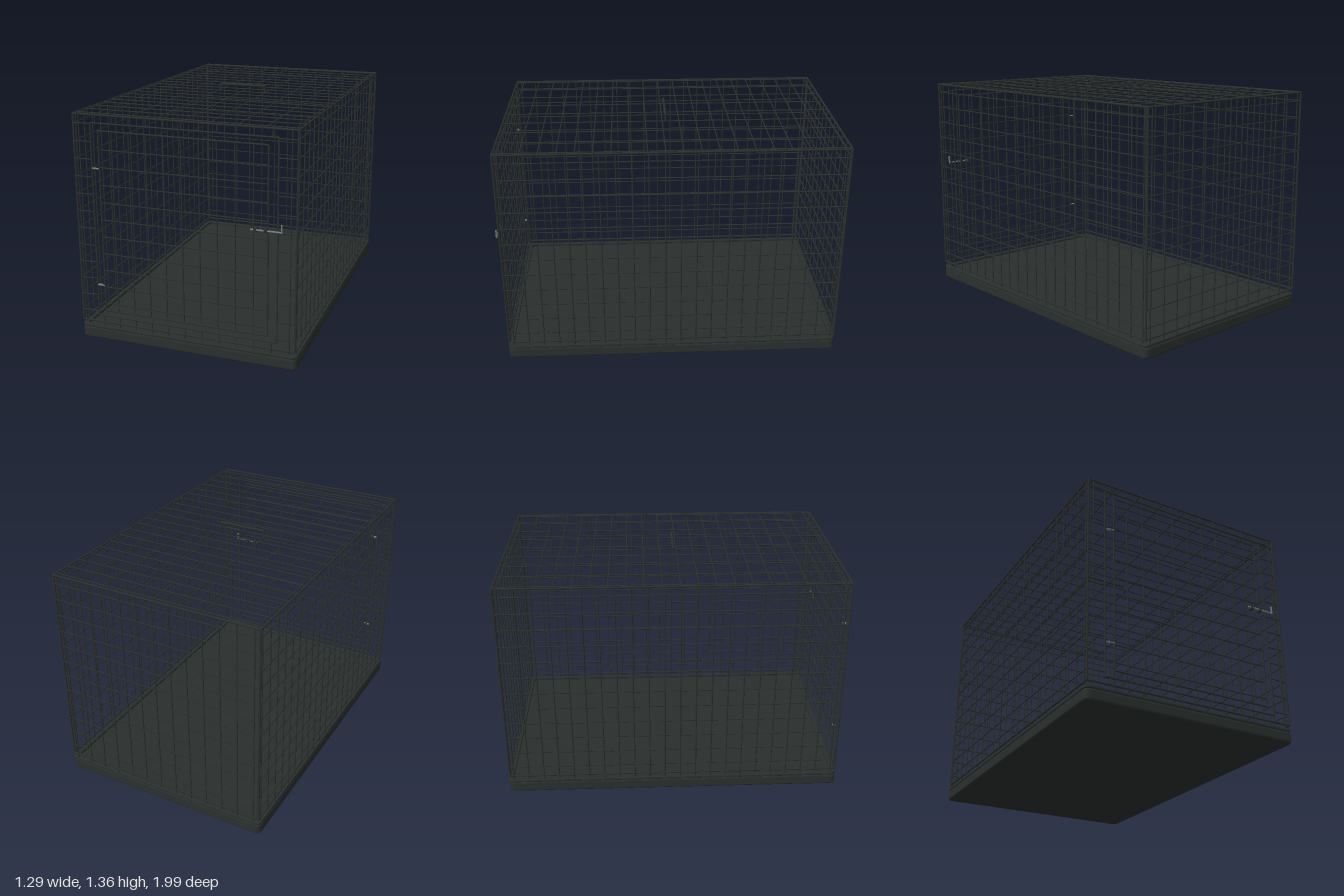
import * as THREE from 'three';
import { mergeGeometries } from 'three/addons/utils/BufferGeometryUtils.js';

const dark = new THREE.MeshStandardMaterial({ color: 0x2a2f2e });
const steel = new THREE.MeshStandardMaterial({ color: 0x777b7b });

const X = 0.632, ZF = 0.963, ZB = -0.986, Y0 = 0.107, Y1 = 1.312;
const THIN = 0.0038, THICK = 0.006;

const steps = (first, last, n) => Array.from({ length: n }, (_, i) => first + (last - first) * i / (n - 1));
const rowsY = steps(0.17, 1.262, 12);
const colsX = steps(-0.6, 0.6, 13);

// Straight round wire between two points
function wire(a, b, r = THIN) {
  const p = new THREE.Vector3(...a), q = new THREE.Vector3(...b);
  const d = q.clone().sub(p);
  const g = new THREE.CylinderGeometry(r, r, d.length(), 8);
  g.applyQuaternion(new THREE.Quaternion().setFromUnitVectors(new THREE.Vector3(0, 1, 0), d.normalize()));
  return g.translate(...p.add(q).multiplyScalar(0.5).toArray());
}

// Closed loop of wire through corner points
const loop = (pts, r) => pts.map((p, i) => {
  const q = pts[(i + 1) % pts.length];
  return wire(p, q, r);
});

const rectXY = (x, y0, y1, z, r) => loop([[-x, y0, z], [x, y0, z], [x, y1, z], [-x, y1, z]], r);

function part(name, geos, material = dark) {
  const m = new THREE.Mesh(mergeGeometries(geos), material);
  m.name = name;
  return m;
}

// Rounded rectangle on the floor plane
function roundRect(P, hx, hz, r) {
  const s = new P();
  s.absarc(hx - r, hz - r, r, 0, Math.PI / 2);
  s.absarc(-hx + r, hz - r, r, Math.PI / 2, Math.PI);
  s.absarc(-hx + r, -hz + r, r, Math.PI, Math.PI * 1.5);
  s.absarc(hx - r, -hz + r, r, Math.PI * 1.5, Math.PI * 2);
  s.closePath();
  return s;
}

// Horizontal slab with rounded edges from y0 to y1
function slab(shape, y0, y1, bevel) {
  const g = new THREE.ExtrudeGeometry(shape, {
    depth: y1 - y0 - 2 * bevel, bevelThickness: bevel, bevelSize: bevel,
    bevelOffset: -bevel, bevelSegments: 3, curveSegments: 6,
  });
  return g.rotateX(-Math.PI / 2).translate(0, y0 + bevel, (ZF + ZB) / 2);
}

function tray() {
  const g = new THREE.Group();
  g.name = 'tray';
  const hz = 0.983;
  g.add(part('trayBase', [slab(roundRect(THREE.Shape, 0.643, hz, 0.03), 0, 0.067, 0.012)]));
  const rim = roundRect(THREE.Shape, 0.643, hz, 0.03);
  rim.holes.push(roundRect(THREE.Path, 0.615, hz - 0.028, 0.02));
  g.add(part('trayRim', [slab(rim, 0.064, 0.083, 0.006)]));
  return g;
}

function sidePanel(x, name) {
  const geos = loop([[x, Y0, ZB], [x, Y0, ZF], [x, Y1, ZF], [x, Y1, ZB]], THICK);
  rowsY.forEach(y => geos.push(wire([x, y, ZB], [x, y, ZF])));
  steps(-0.963, 0.936, 22).forEach(z => geos.push(wire([x, 0.08, z], [x, Y1, z])));
  return part(name, geos);
}

function backPanel() {
  const geos = rectXY(X, Y0, Y1, ZB, THICK);
  rowsY.forEach(y => geos.push(wire([-X, y, ZB], [X, y, ZB])));
  colsX.forEach(x => geos.push(wire([x, 0.08, ZB], [x, Y1, ZB])));
  return part('backPanel', geos);
}

function roof() {
  const geos = loop([[-X, Y1, ZB], [X, Y1, ZB], [X, Y1, ZF], [-X, Y1, ZF]], THICK);
  steps(-0.957, 0.917, 20).forEach(z => geos.push(wire([-X, Y1, z], [X, Y1, z])));
  steps(-0.608, 0.608, 9).forEach(x => geos.push(wire([x, Y1, ZB], [x, Y1, ZF])));
  return part('roof', geos);
}

// Front panel with a framed doorway
function frontPanel() {
  const w = 0.53, lo = 0.147, hi = 1.267;
  const geos = [...rectXY(X, Y0, Y1, ZF, THICK), ...rectXY(w, lo, hi, ZF, 0.005)];
  for (const s of [-1, 1]) {
    rowsY.forEach(y => geos.push(wire([s * w, y, ZF], [s * X, y, ZF])));
    geos.push(wire([s * 0.6, 0.08, ZF], [s * 0.6, Y1, ZF]));
  }
  colsX.slice(1, -1).forEach(x => geos.push(
    wire([x, 0.08, ZF], [x, lo, ZF]), wire([x, hi, ZF], [x, Y1, ZF])));
  return part('frontPanel', geos);
}

function door() {
  const g = new THREE.Group();
  g.name = 'door';
  const z = 0.972, w = 0.48, lo = 0.185, hi = 1.228;
  const geos = rectXY(w, lo, hi, z, 0.005);
  steps(0.23, 1.124, 10).forEach(y => geos.push(wire([-w, y, z], [w, y, z])));
  steps(-0.4, 0.4, 9).forEach(x => geos.push(wire([x, lo, z], [x, hi, z])));
  g.add(part('doorGrid', geos));

  // Hinges
  const hinges = [0.338, 1.018].flatMap(y => [
    wire([-0.525, y, 0.97], [-0.48, y, 0.976]),
    new THREE.TorusGeometry(0.009, 0.003, 6, 16).rotateX(Math.PI / 2).translate(-0.51, y, 0.97),
  ]);
  g.add(part('hinges', hinges, steel));

  // Sliding bolt with an upturned grip
  const y = 0.78, bz = 0.99;
  g.add(part('latchBolt', [
    wire([0.39, y, bz], [0.558, y, bz], 0.005),
    wire([0.558, y - 0.005, bz], [0.558, 0.822, bz], 0.005),
  ], steel));
  g.add(part('latchBrackets', [0.415, 0.472].map(x =>
    new THREE.BoxGeometry(0.016, 0.022, 0.028).translate(x, y, 0.982))));
  return g;
}

// Carry handle on the roof
function handle() {
  const z = 0.01, top = 1.35;
  return part('carryHandle', [
    wire([-0.14, top, z], [0.14, top, z], 0.008),
    ...[-1, 1].flatMap(s => [
      wire([s * 0.145, Y1, z], [s * 0.137, top, z], 0.006),
      new THREE.SphereGeometry(0.008, 10, 8).translate(s * 0.14, top, z),
    ]),
  ]);
}

export function createModel() {
  const group = new THREE.Group();
  group.name = 'wireCrate';
  group.add(tray(), sidePanel(X, 'leftPanel'), sidePanel(-X, 'rightPanel'),
    backPanel(), roof(), frontPanel(), door(), handle());
  return group;
}
